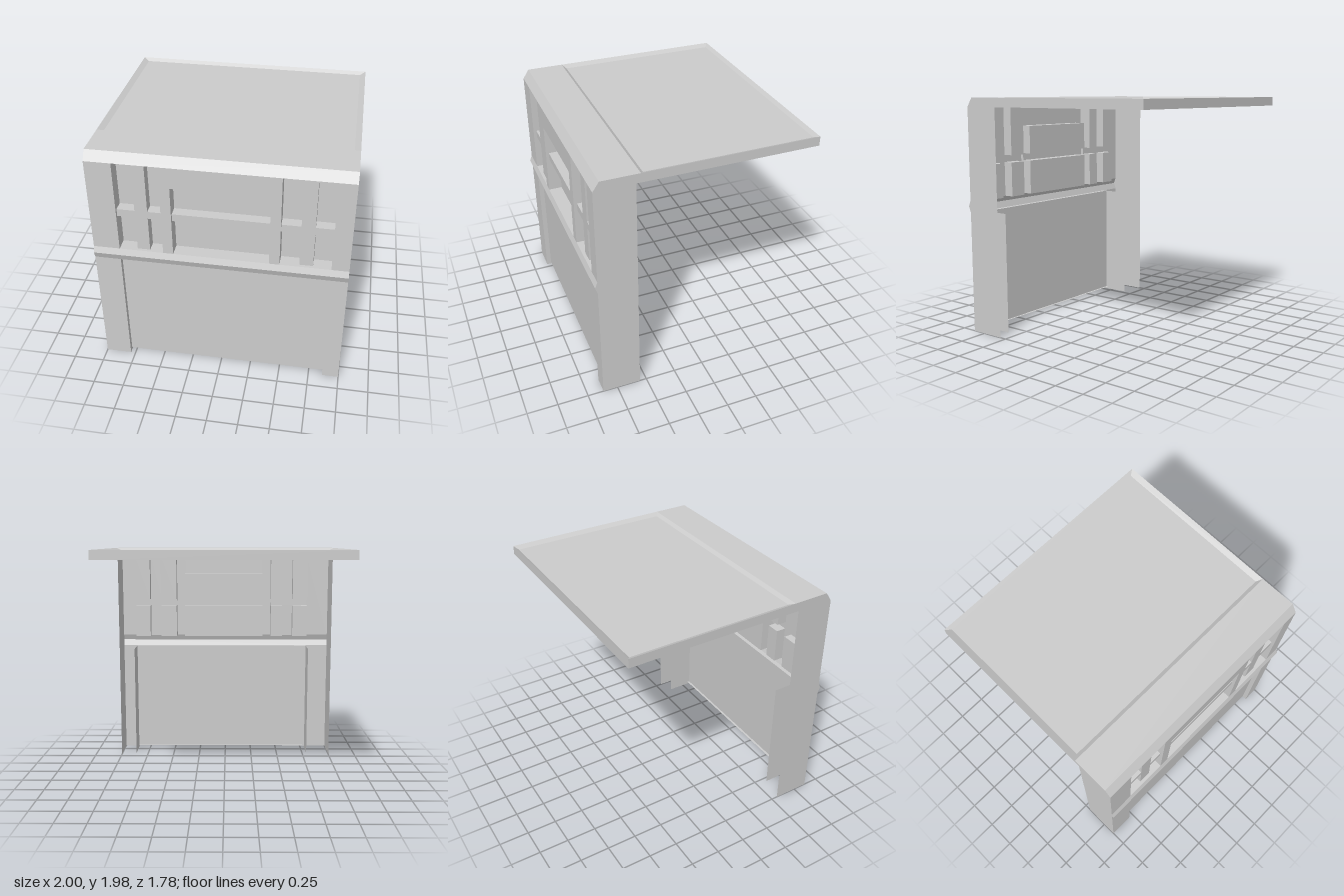
import * as THREE from 'three';

const material = new THREE.MeshStandardMaterial({ color: 0xcccccc, side: THREE.DoubleSide });

// Thin sheet made of flat four-cornered faces, corners counter-clockwise from outside
function sheet(name, faces) {
  const pos = [];
  for (const [a, b, c, d] of faces) pos.push(...a, ...b, ...c, ...a, ...c, ...d);
  const geo = new THREE.BufferGeometry();
  geo.setAttribute('position', new THREE.Float32BufferAttribute(pos, 3));
  geo.computeVertexNormals();
  const mesh = new THREE.Mesh(geo, material);
  mesh.name = name;
  return mesh;
}

// Rectangle facing +z
const rect = (x0, x1, y0, y1, z) => [[x0, y0, z], [x1, y0, z], [x1, y1, z], [x0, y1, z]];

// Strips joining two loops of four corners
const join = (outer, inner) => outer.map((p, i) => {
  const j = (i + 1) % 4;
  return [p, outer[j], inner[j], inner[i]];
});

// Inward-facing reveal of a rectangular opening
const reveal = (x0, x1, y0, y1, zFront, zBack) =>
  join(rect(x0, x1, y0, y1, zFront), rect(x0, x1, y0, y1, zBack));

const Z = 0.87, BAR = 0.845, PANE = 0.76;
const BASE = 1.13, EAVE = 1.905, TOP = 1.98, DOOR_TOP = 1.025;
const DOOR_L = -0.79, DOOR_R = 0.865, BACK = -0.89, SIDE_BACK = 0.555;

// Window: outer reveal, grid of bars, and recessed panes between the bars
function makeWindow(name, xs, ys) {
  const group = new THREE.Group();
  group.name = name;
  const frame = reveal(xs[0], xs.at(-1), ys[0], ys.at(-1), Z, BAR);
  const panes = [];
  for (let i = 0; i < xs.length - 1; i++) {
    for (let j = 0; j < ys.length - 1; j++) {
      const cell = [xs[i], xs[i + 1], ys[j], ys[j + 1]];
      if (i % 2 || j % 2) {
        frame.push(rect(...cell, BAR));
      } else {
        frame.push(...reveal(...cell, BAR, PANE));
        panes.push(rect(...cell, PANE));
      }
    }
  }
  group.add(sheet('windowBars', frame), sheet('windowPanes', panes));
  return group;
}

export function createModel() {
  const model = new THREE.Group();
  model.name = 'garageFront';

  // Front wall: legs beside the door and piers around the windows
  model.add(sheet('frontWall', [
    rect(-1, DOOR_L, 0, DOOR_TOP, Z),
    rect(DOOR_R, 1, 0, DOOR_TOP, Z),
    rect(-1, -0.79, BASE, EAVE, Z),
    rect(-0.44, -0.36, BASE, EAVE, Z),
    rect(0.39, 0.47, BASE, EAVE, Z),
    rect(0.865, 1, BASE, EAVE, Z),
    rect(-0.36, 0.39, 1.73, EAVE, Z),
  ]));

  // Horizontal strips across the full width, from a [y, z] profile
  const strips = (name, profile) => sheet(name, profile.slice(1).map(([y, z], i) => {
    const [y0, z0] = profile[i];
    return [[-1, y0, z0], [1, y0, z0], [1, y, z], [-1, y, z]];
  }));
  model.add(strips('ridgeMoulding', [[DOOR_TOP, Z], [1.08, 0.89], [BASE, Z]]));
  model.add(strips('eaveBevel', [[EAVE, Z], [TOP, 0.82], [TOP, 0.52]]));

  // Windows
  const rows = [BASE, 1.425, 1.487];
  model.add(makeWindow('rightWindow', [-0.79, -0.65, -0.55, -0.44], [...rows, EAVE]));
  model.add(makeWindow('middleWindow', [-0.36, 0.39], [...rows, 1.73]));
  model.add(makeWindow('leftWindow', [0.47, 0.62, 0.725, 0.865], [...rows, EAVE]));

  // Door with lintel, bottom lip and deep jambs
  const doorZ = 0.83;
  model.add(sheet('door', [
    rect(DOOR_L, DOOR_R, 0.02, DOOR_TOP, doorZ),
    [[DOOR_L, 0.02, doorZ - 0.02], [DOOR_R, 0.02, doorZ - 0.02], [DOOR_R, 0.02, doorZ], [DOOR_L, 0.02, doorZ]],
    [[DOOR_L, DOOR_TOP, doorZ], [DOOR_R, DOOR_TOP, doorZ], [DOOR_R, DOOR_TOP, Z], [DOOR_L, DOOR_TOP, Z]],
  ]));
  model.add(sheet('doorJambs', [DOOR_L, DOOR_R].map((x) => {
    const f = [[x, 0, Z], [x, 0, 0.6], [x, DOOR_TOP, 0.6], [x, DOOR_TOP, Z]];
    return x < 0 ? f : f.reverse();
  })));

  // Side walls with the roof edge in one outline; shape x runs along -z
  const outline = [
    [SIDE_BACK, 0], [SIDE_BACK, EAVE], [BACK, EAVE], [BACK, TOP], [0.82, TOP],
    [Z, EAVE], [Z, BASE], [0.89, 1.08], [Z, DOOR_TOP], [Z, 0],
  ];
  for (const side of [-1, 1]) {
    const shape = new THREE.Shape(outline.map(([z, y]) => new THREE.Vector2(-side * z, y)));
    const wall = new THREE.Mesh(new THREE.ShapeGeometry(shape), material);
    wall.name = side > 0 ? 'leftSideWall' : 'rightSideWall';
    wall.rotation.y = side * Math.PI / 2;
    wall.position.x = side;
    model.add(wall);
  }

  // Roof: sloped rim around a shallow sunken panel, and the rear edge
  const level = (x, zf, zb, y) => [[-x, y, zf], [x, y, zf], [x, y, zb], [-x, y, zb]];
  const panel = level(0.955, 0.49, -0.86, TOP - 0.022);
  model.add(sheet('roofRim', join(level(1, 0.52, BACK, TOP), panel)));
  model.add(sheet('roofPanel', [panel]));
  model.add(sheet('roofBackEdge', [rect(-1, 1, EAVE, TOP, BACK).reverse()]));

  return model;
}
